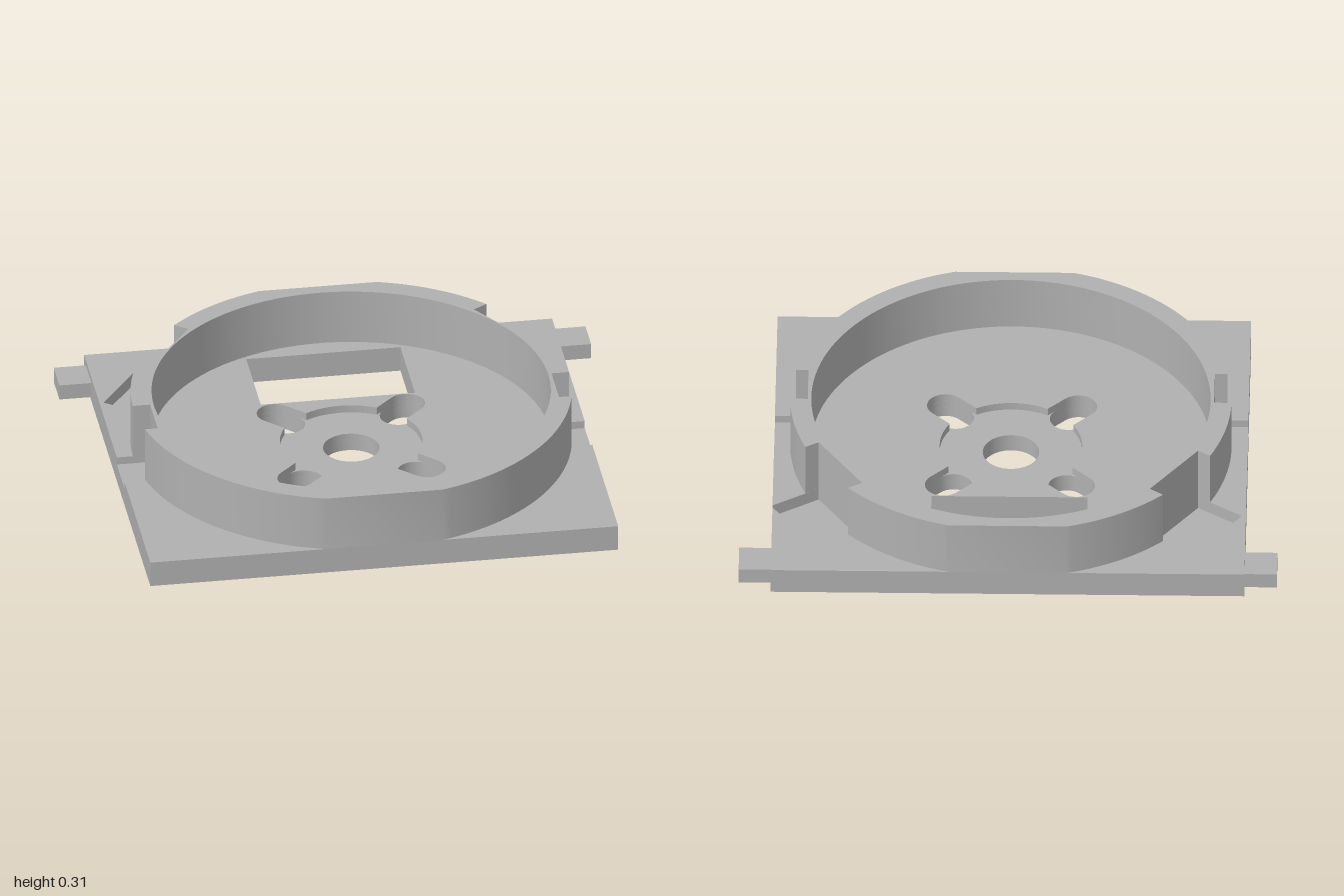
import * as THREE from 'three';
import { toCreasedNormals } from 'three/addons/utils/BufferGeometryUtils.js';

// Plan coordinates are [x, -z]; slabs are extruded upwards from y0 to y1.
const toPath = (pts) => pts.map(([x, s]) => new THREE.Vector2(x, s));

const arc = (r, a0, a1, n = 24) =>
  Array.from({ length: n + 1 }, (_, i) => {
    const a = a0 + ((a1 - a0) * i) / n;
    return [r * Math.cos(a), r * Math.sin(a)];
  });

const circle = (r, n = 96) => arc(r, 0, Math.PI * 2, n).slice(0, -1);

// Rounded slot lying on the diagonal at angle a
function slot(a, near, far, r) {
  const cap = (d, from) => arc(r, from, from + Math.PI, 16)
    .map(([x, s]) => [x + d * Math.cos(a), s + d * Math.sin(a)]);
  return [...cap(far, a - Math.PI / 2), ...cap(near, a + Math.PI / 2)];
}

// Round recess merged with the outer ends of the four slots
function recessOutline(R, far, r, n = 480) {
  return Array.from({ length: n }, (_, i) => {
    const t = (i / n) * Math.PI * 2;
    const a = Math.abs((t % (Math.PI / 2)) - Math.PI / 4);
    const h = far * Math.sin(a);
    const reach = h < r ? far * Math.cos(a) + Math.sqrt(r * r - h * h) : r / Math.sin(a);
    const d = Math.max(R, reach);
    return [d * Math.cos(t), d * Math.sin(t)];
  });
}

export function createModel() {
  const group = new THREE.Group();
  const grey = new THREE.MeshStandardMaterial({ color: 0xb0b0b0 });
  grey.name = 'grey plastic';

  function slab(name, y0, y1, outline, holes) {
    const shape = new THREE.Shape(toPath(outline));
    holes.forEach((h) => shape.holes.push(new THREE.Path(toPath(h))));
    let geo = new THREE.ExtrudeGeometry(shape, { depth: y1 - y0, bevelEnabled: false });
    geo.rotateX(-Math.PI / 2).translate(0, y0, 0);
    geo = toCreasedNormals(geo, 0.4);
    const mesh = new THREE.Mesh(geo, grey);
    mesh.name = name;
    group.add(mesh);
  }

  const W = 0.88, D = 0.79, R = 0.82, slotR = 0.069, slotFar = 0.349;

  // Openings through the plate
  const window_ = [[-0.29, 0.319], [0.29, 0.319], [0.29, 0.665], [-0.29, 0.665]];
  const slots = [1, 3, 5, 7].map((k) => slot((k * Math.PI) / 4, 0.297, slotFar, slotR));
  const bore = circle(0.105, 48);

  // Angled pockets: the left one breaks through the plate edge
  const edgePocket = [[W, 0.387], [0.71, 0.28], [0.545, 0.53], [0.72, 0.64], [W, 0.398]];
  const innerPocket = [[-0.525, 0.55], [-0.69, 0.67], [-0.865, 0.425], [-0.7, 0.31]];
  const sideNotch = (x) => [[x, -0.17], [0.755, -0.17], [0.755, 0.01], [x, 0.01]];
  const mirrored = (pts) => pts.map(([x, s]) => [-x, s]).reverse();
  const plate = (notch, pocket) => [
    [W, -D], ...notch, ...pocket, [W, D], [-W, D], ...mirrored(notch), [-W, -D],
  ];

  // Base plate in three levels
  slab('basePlate', 0, 0.05, plate([], []), [window_, bore, ...slots]);
  slab('pocketLevel', 0.05, 0.07, plate([], edgePocket), [window_, bore, ...slots, innerPocket]);
  slab('floorLevel', 0.07, 0.1, plate(sideNotch(W), edgePocket),
    [window_, recessOutline(0.265, slotFar, slotR), innerPocket]);

  // Raised ring, clipped front and back, cut by notches and pockets
  const clip = Math.asin(D / R), lo = Math.asin(0.17 / R), hi = Math.asin(0.01 / R);
  const cut = [[0.755, -0.17], [0.755, 0.01]];
  const ring = [
    ...arc(R, -clip, -lo), ...cut,
    ...arc(R, hi, 0.388), [0.71, 0.28], [0.545, 0.53],
    ...arc(R, 0.756, clip),
    ...arc(R, Math.PI - clip, 2.346), [-0.525, 0.55], [-0.7, 0.31],
    ...arc(R, 2.712, Math.PI - hi), ...mirrored(cut),
    ...arc(R, Math.PI + lo, Math.PI + clip),
  ];
  slab('raisedRing', 0.1, 0.315, ring, [circle(0.742, 128)]);

  // Side tabs at the rear
  for (const side of [1, -1]) {
    const tab = new THREE.Mesh(new THREE.BoxGeometry(0.12, 0.06, 0.135), grey);
    tab.position.set(side * 0.94, 0.046, -0.687);
    tab.name = side > 0 ? 'leftTab' : 'rightTab';
    group.add(tab);
  }
  return group;
}
